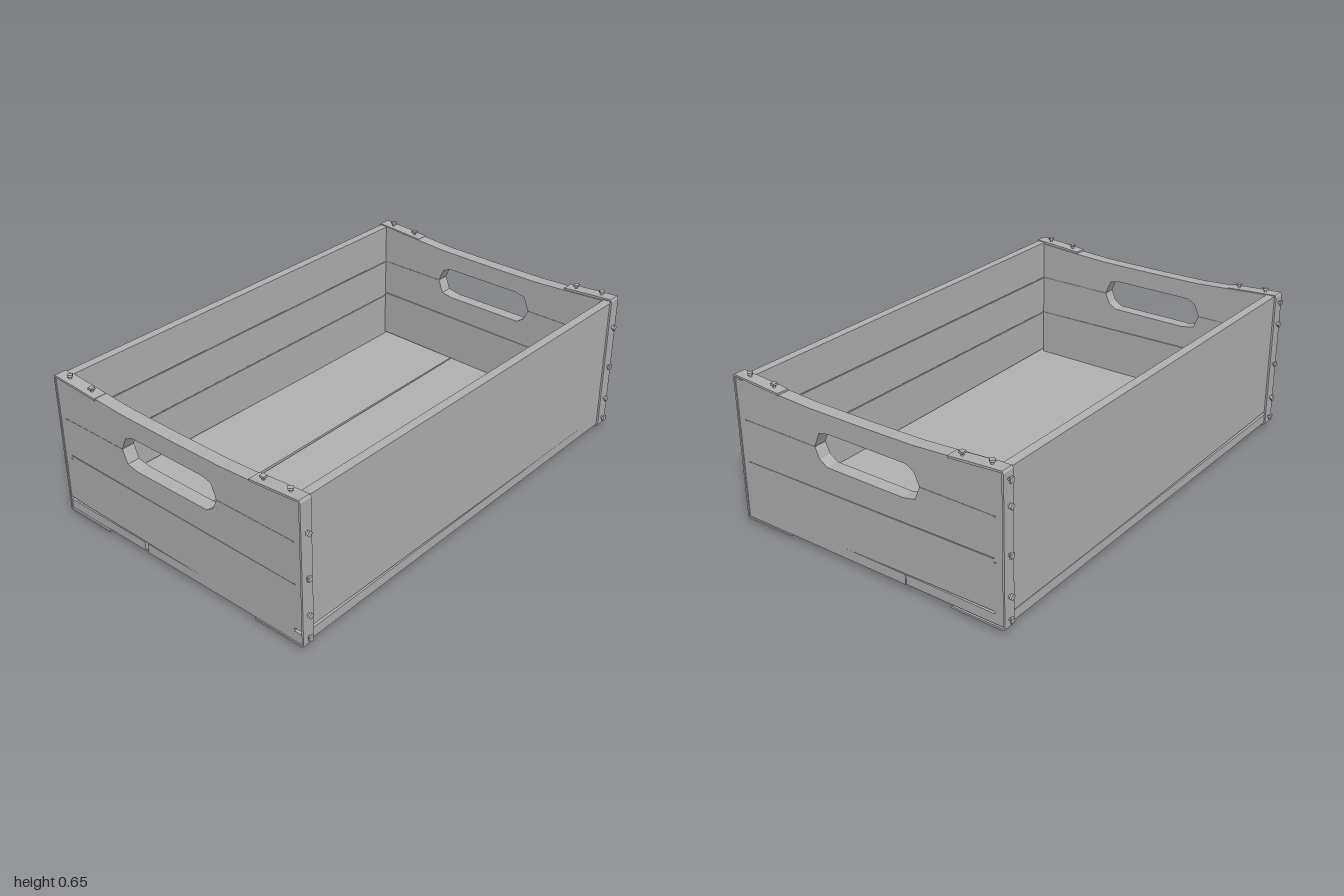
import * as THREE from 'three';

const grey = new THREE.MeshStandardMaterial({ color: 0xb2b2b2 });
grey.name = 'grey';

const extrude = (points, depth) => new THREE.ExtrudeGeometry(
  new THREE.Shape(points.map(([a, b]) => new THREE.Vector2(a, b))),
  { depth, bevelEnabled: false });

// Outline in (x, y), thickness along z from z0 to z1
const alongZ = (points, z0, z1) => extrude(points, z1 - z0).translate(0, 0, z0);
// Outline in (z, y), thickness along x from x0 to x1
const alongX = (points, x0, x1) => extrude(points, x1 - x0).rotateY(-Math.PI / 2).translate(x1, 0, 0);
// Outline in (x, z), thickness along y from y0 to y1
const alongY = (points, y0, y1) => extrude(points, y1 - y0).rotateX(Math.PI / 2).translate(0, y1, 0);

export function createModel() {
  const crate = new THREE.Group();
  crate.name = 'crate';
  const add = (name, geometry, parent = crate) => {
    const mesh = new THREE.Mesh(geometry, grey);
    mesh.name = name;
    parent.add(mesh);
    return mesh;
  };

  // Floor: two boards with a tapering gap
  add('floorFrontBoard', alongY([[-0.99, -0.175], [0.99, -0.183], [0.99, 0.628], [-0.99, 0.628]], 0.022, 0.065));
  add('floorBackBoard', alongY([[-0.99, -0.63], [0.99, -0.63], [0.99, -0.187], [-0.99, -0.19]], 0.025, 0.066));

  // Long walls: a smooth outer sheet lined with three boards
  for (const [side, s, topRight] of [['front', 1, 0.62], ['back', -1, 0.632]]) {
    const slab = (a, b) => [Math.min(s * a, s * b), Math.max(s * a, s * b)];
    const foot = [[-0.99, 0.079], [0.42, 0.066], [0.99, 0.065]];
    add(side + 'Wall', alongZ([...foot, [0.99, topRight], [-0.99, 0.633]], ...slab(0.598, 0.628)));
    add(side + 'LowerBoard', alongZ([...foot, [0.99, 0.272], [-0.99, 0.272]], ...slab(0.59, 0.598)));
    add(side + 'MiddleBoard', alongZ([[-0.99, 0.276], [0.99, 0.276], [0.99, 0.452], [-0.99, 0.452]], ...slab(0.59, 0.598)));
    add(side + 'UpperBoard', alongZ([[-0.99, 0.456], [0.99, 0.456], [0.99, topRight], [-0.99, 0.633]], ...slab(0.59, 0.598)));
  }

  // End walls: three boards, the handle hole shared by the upper two
  const lower = [[0.59, 0.065], [0.11, 0.065], [-0.59, 0.076], [-0.59, 0.287], [0.59, 0.274]];
  const middle = [[0.59, 0.275], [-0.59, 0.291], [-0.59, 0.455], [-0.268, 0.455], [-0.245, 0.398],
    [-0.19, 0.387], [0.175, 0.387], [0.21, 0.41], [0.23, 0.455], [0.59, 0.455]];
  const upper = [[0.59, 0.456], [0.23, 0.456], [0.205, 0.516], [0.16, 0.527], [-0.21, 0.527],
    [-0.245, 0.508], [-0.268, 0.456], [-0.59, 0.456], [-0.59, 0.634], [-0.4, 0.62],
    [-0.25, 0.61], [0, 0.607], [0.25, 0.607], [0.4, 0.614], [0.59, 0.625]];
  for (const [side, x0, x1] of [['left', 0.935, 0.99], ['right', -0.99, -0.935]]) {
    add(side + 'EndLowerBoard', alongX(lower, x0, x1));
    add(side + 'EndMiddleBoard', alongX(middle, x0, x1));
    add(side + 'EndUpperBoard', alongX(upper, x0, x1));
  }

  // Screw with a thin neck and a square head, pointing along its local +y
  const neck = new THREE.CylinderGeometry(0.006, 0.006, 0.016, 8).translate(0, 0.004, 0);
  const head = new THREE.BoxGeometry(0.02, 0.008, 0.02).translate(0, 0.013, 0);
  const up = new THREE.Vector3(0, 1, 0);
  const addScrew = (x, y, z, direction, turned) => {
    const screw = new THREE.Group();
    screw.name = 'screw';
    add('screwNeck', neck, screw);
    add('screwHead', head, screw).rotation.y = turned ? Math.PI / 4 : 0;
    screw.position.set(x, y, z);
    screw.quaternion.setFromUnitVectors(up, direction);
    crate.add(screw);
  };

  // Corner straps folded over the rim and under the floor
  const band = [[0.4, 0.013], [0.63, 0.013], [0.636, 0.02], [0.636, 0.628], [0.63, 0.638],
    [0.52, 0.631], [0.4, 0.622], [0.4, 0.613], [0.52, 0.621], [0.628, 0.63], [0.628, 0.021], [0.4, 0.021]];
  const down = new THREE.Vector3(0, -1, 0);
  for (const sx of [1, -1]) for (const sz of [1, -1]) {
    const x = sx * 0.967;
    add('cornerStrap', alongX(band.map(([z, y]) => [z * sz, y]), x - 0.027, x + 0.027));
    const outward = new THREE.Vector3(0, 0, sz);
    const heights = sz > 0 ? [0.05, 0.15, 0.31, 0.5] : [0.05, 0.145, 0.31, 0.5, 0.6];
    heights.forEach((y, i) => addScrew(x, y, sz * 0.635, outward, i % 2 === 1));
    addScrew(x, 0.635, sz * 0.57, up, true);
    addScrew(x, 0.626, sz * 0.445, up, false);
    addScrew(x, 0.016, sz * 0.6, down, true);
    addScrew(x, 0.016, sz * 0.455, down, false);
  }
  return crate;
}
